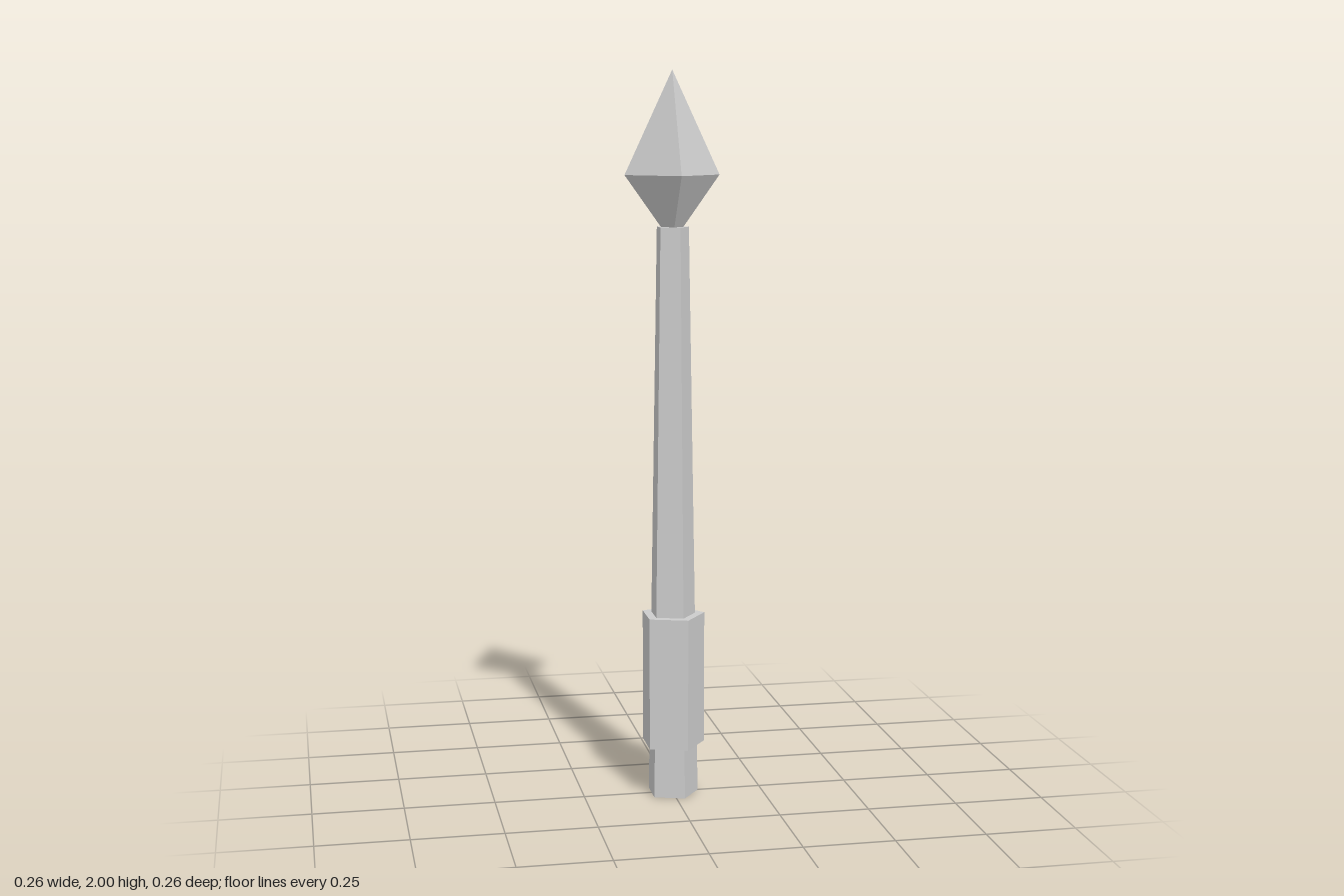
import * as THREE from 'three';

export function createModel() {
  const group = new THREE.Group();
  const grey = new THREE.MeshStandardMaterial({ color: 0xcccccc, flatShading: true });
  grey.name = 'light grey';

  // Faceted section between two heights, with its first corner turned to +x
  function section(name, y0, y1, r0, r1, sides, open = false) {
    const geo = new THREE.CylinderGeometry(r1, r0, y1 - y0, sides, 1, open, Math.PI / 2);
    const mesh = new THREE.Mesh(geo, grey);
    mesh.name = name;
    mesh.position.y = (y0 + y1) / 2;
    group.add(mesh);
  }

  // Five-sided tapering shaft and the thicker grip around it
  section('shaft', 0, 1.583, 0.073, 0.046, 5);
  section('grip', 0.143, 0.513, 0.091, 0.091, 5);

  // Four-sided pointed head: narrow neck, wide middle, sharp tip
  const profile = [[0, 1.583], [0.031, 1.583], [0.13, 1.722], [0, 2]];
  const head = new THREE.Mesh(
    new THREE.LatheGeometry(profile.map(([r, y]) => new THREE.Vector2(r, y)), 4), grey);
  head.name = 'spearHead';
  group.add(head);

  return group;
}
